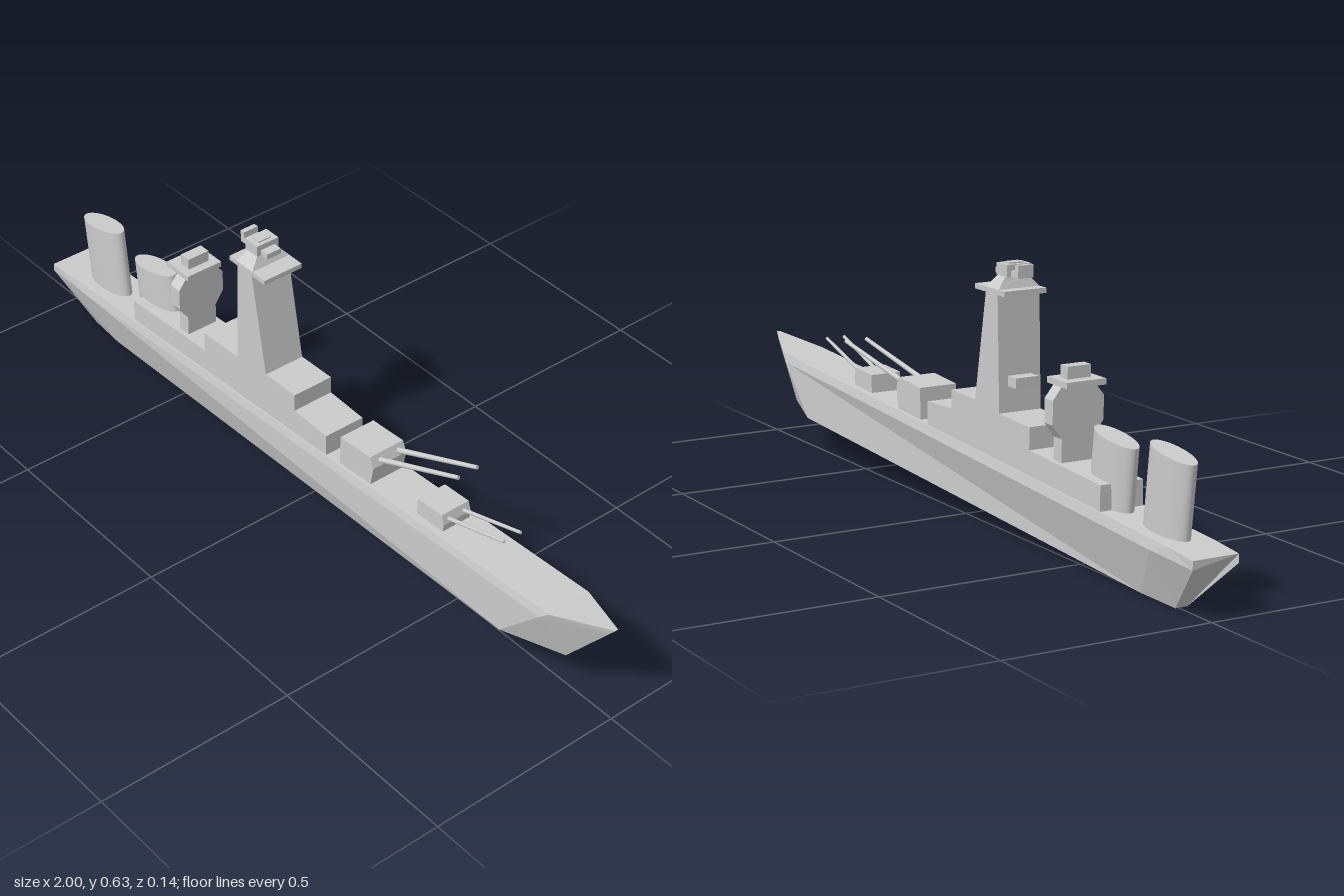
import * as THREE from 'three';

const CZ = 0.0075; // centreline
const material = new THREE.MeshStandardMaterial({ color: 0xcccccc, flatShading: true });
const smoothMaterial = new THREE.MeshStandardMaterial({ color: 0xcccccc });

export function createModel() {
  const ship = new THREE.Group();
  ship.name = 'warship';

  const add = (name, geometry, mat = material) => {
    const mesh = new THREE.Mesh(geometry, mat);
    mesh.name = name;
    mesh.position.z = CZ;
    ship.add(mesh);
    return mesh;
  };
  const extrude = (points, half) => {
    const shape = new THREE.Shape(points.map(([x, y]) => new THREE.Vector2(x, y)));
    return new THREE.ExtrudeGeometry(shape, { depth: half * 2, bevelEnabled: false }).translate(0, 0, -half);
  };
  // Side profile (x, y) extruded across the ship
  const slab = (name, points, half) => add(name, extrude(points, half));
  const box = (name, x0, x1, y0, y1, half, z = 0) =>
    add(name, new THREE.BoxGeometry(x1 - x0, y1 - y0, half * 2).translate((x0 + x1) / 2, (y0 + y1) / 2, z));

  // Hull: each station gives deck, knuckle and keel as [x, y, half width]
  add('hull', loft([
    [[-1, 0.137, 0.057], [-1, 0.117, 0.057], [-0.88, 0, 0.015]],
    [[-0.91, 0.145, 0.058], [-0.85, 0.125, 0.0625], [-0.77, 0.007, 0.028]],
    [[0.855, 0.24, 0.058], [0.83, 0.218, 0.0625], [0.71, 0.095, 0.0625]],
    [[1, 0.265, 0.004], [0.985, 0.247, 0.007], [0.87, 0.105, 0.013]],
  ]));

  // Stepped deckhouse
  slab('deckhouse', [
    [-0.65, 0.14], [0.1, 0.18], [0.1, 0.255], [-0.015, 0.26], [-0.015, 0.305],
    [-0.12, 0.302], [-0.23, 0.29], [-0.36, 0.285], [-0.36, 0.233], [-0.65, 0.217],
  ], 0.0545);

  // Command tower with platform, sloped roof and rangefinder
  slab('tower', [[-0.23, 0.28], [-0.12, 0.29], [-0.17, 0.56], [-0.222, 0.56]], 0.0545);
  box('towerShelf', -0.262, -0.22, 0.35, 0.374, 0.03);
  box('towerPlatform', -0.252, -0.122, 0.559, 0.571, 0.0545);
  add('towerRoof', loft([
    [[-0.215, 0.597, 0.03], [-0.219, 0.584, 0.042], [-0.225, 0.57, 0.0545]],
    [[-0.18, 0.597, 0.03], [-0.175, 0.584, 0.042], [-0.167, 0.57, 0.0545]],
  ]));
  box('lookoutDeck', -0.25, -0.155, 0.597, 0.611, 0.02);
  box('lookoutCabin', -0.222, -0.178, 0.597, 0.625, 0.031);
  box('lookoutCap', -0.212, -0.188, 0.625, 0.628, 0.018);
  box('rearSight', -0.253, -0.24, 0.597, 0.627, 0.02);

  // Aft mast: outline across the ship, extruded lengthwise
  const half = [[0.042, 0.22], [0.042, 0.28], [0.0655, 0.313], [0.0655, 0.368], [0.04, 0.4]];
  const outline = [...half, ...half.map(([z, y]) => [-z, y]).reverse()];
  add('aftMast', extrude(outline, 0.017).rotateY(Math.PI / 2).translate(-0.458, 0, 0));
  box('mastPlatform', -0.508, -0.425, 0.398, 0.412, 0.05);
  box('mastHead', -0.478, -0.448, 0.412, 0.44, 0.03);

  // Raked oval funnels with slanted tops
  const funnel = (name, xTop, yTop, height) => {
    const rake = new THREE.Matrix4().set(
      1, -0.12, 0, xTop,
      0.15, 1, 0, yTop,
      0, 0, 1, 0,
      0, 0, 0, 1);
    const g = new THREE.CylinderGeometry(1, 1, height, 40).translate(0, -height / 2, 0);
    g.scale(0.076, 1, 0.03).applyMatrix4(rake);
    add(name, g, smoothMaterial);
  };
  funnel('aftFunnel', -0.843, 0.323, 0.19);
  funnel('foreFunnel', -0.628, 0.312, 0.17);

  // Gun turrets and barrels
  const barrel = (name, from, to, r0, r1) => {
    const a = new THREE.Vector3(...from), b = new THREE.Vector3(...to);
    const dir = b.clone().sub(a);
    const mesh = add(name, new THREE.CylinderGeometry(r1, r0, dir.length(), 12), smoothMaterial);
    mesh.position.copy(a).add(b).multiplyScalar(0.5);
    mesh.quaternion.setFromUnitVectors(new THREE.Vector3(0, 1, 0), dir.normalize());
  };
  slab('mainTurret', [[0.143, 0.19], [0.25, 0.195], [0.262, 0.258], [0.25, 0.285], [0.145, 0.278]], 0.049);
  slab('foreTurret', [[0.403, 0.205], [0.49, 0.21], [0.494, 0.24], [0.486, 0.264], [0.406, 0.26]], 0.04);
  for (const side of [1, -1]) {
    barrel('mainBarrel', [0.235, 0.262, CZ + side * 0.027], [0.475, 0.336, -0.037 + side * 0.028], 0.007, 0.005);
    barrel('foreBarrel', [0.475, 0.244, CZ + side * 0.022], [0.672, 0.304, CZ + side * 0.024], 0.005, 0.004);
  }
  return ship;
}

// Skin between mirrored cross-sections running aft to fore, with both ends capped
function loft(stations) {
  const rings = stations.map((s) => [...s, ...s.map(([x, y, z]) => [x, y, -z]).reverse()]);
  const out = [];
  const n = rings[0].length;
  for (let k = 0; k < rings.length - 1; k++) {
    const a = rings[k], b = rings[k + 1];
    for (let i = 0; i < n; i++) {
      const j = (i + 1) % n;
      out.push(...a[i], ...a[j], ...b[j], ...a[i], ...b[j], ...b[i]);
    }
  }
  const first = rings[0], last = rings[rings.length - 1];
  for (let i = 1; i < n - 1; i++) {
    out.push(...last[0], ...last[i], ...last[i + 1], ...first[0], ...first[i + 1], ...first[i]);
  }
  const g = new THREE.BufferGeometry();
  g.setAttribute('position', new THREE.Float32BufferAttribute(out, 3));
  g.computeVertexNormals();
  return g;
}
